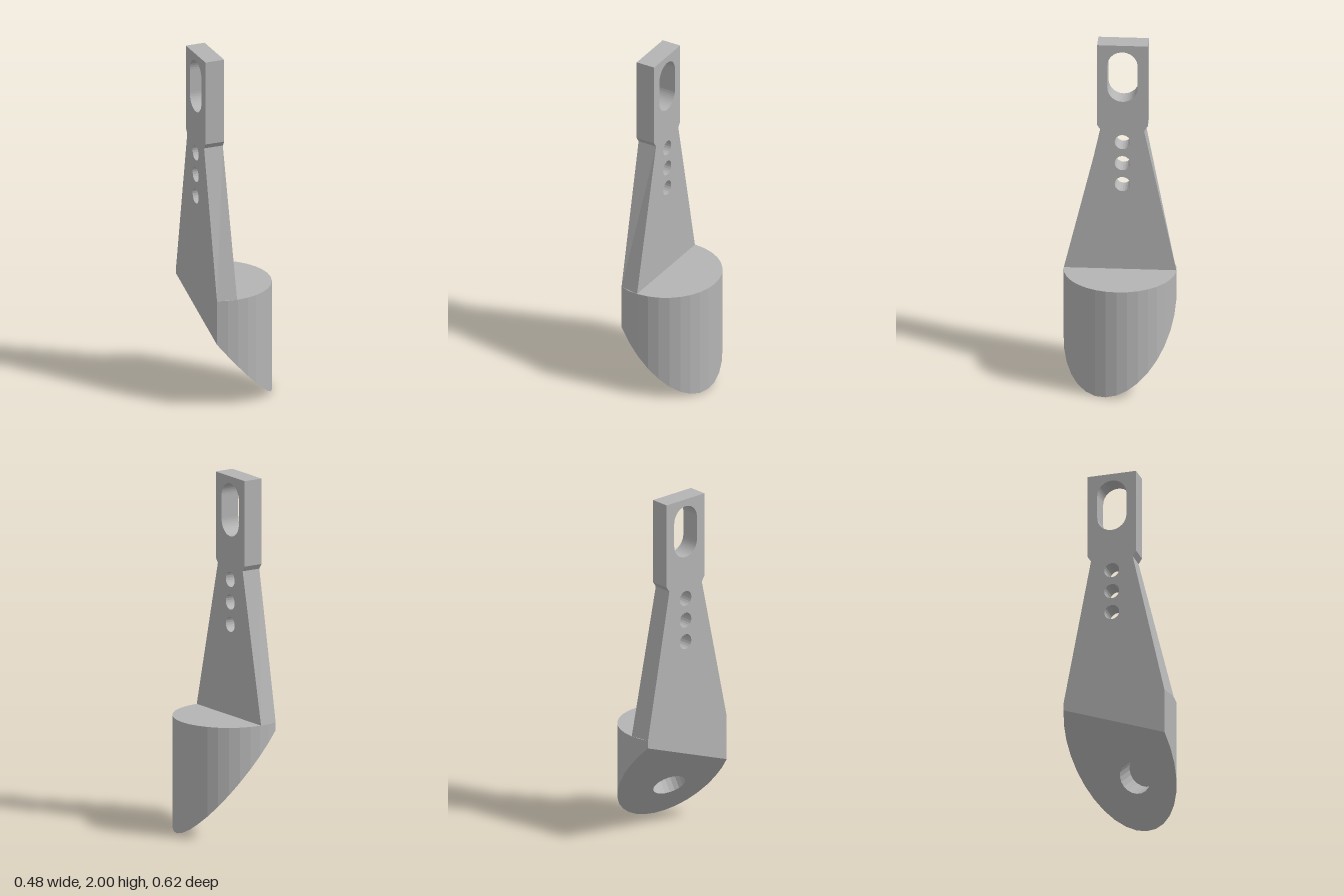
import * as THREE from 'three';

const R = 0.312;        // radius of the rounded base
const BACK = -0.112;    // flat back plane
const TOP = 0.645;      // height of the base's flat top
const LID = 0.62;       // underside of the solid top slab
const SLOPE = 1.18, DIR = 0.314;   // steepness and heading of the slanted underside
const HOLE = { u: 0.1, w: 0.056, r: 0.093, depth: 0.12 };

const slantY = (u, w) => SLOPE * (R - Math.cos(DIR) * u - Math.sin(DIR) * w);
const slantNormal = new THREE.Vector3(SLOPE * Math.cos(DIR), 1, SLOPE * Math.sin(DIR)).normalize();

// Circle segment with a flat back edge
function plan() {
  const a = Math.acos(BACK / R);
  const s = new THREE.Shape();
  s.absarc(0, 0, R, -a, a, false);
  s.closePath();
  return s;
}

function upright(shape, depth) {
  return new THREE.ExtrudeGeometry(shape, { depth, bevelEnabled: false, curveSegments: 10 }).rotateX(-Math.PI / 2);
}

// Base body: underside vertices drop onto the slanted plane, the socket runs square to it
function baseGeometry() {
  const shape = plan();
  const hole = new THREE.Path();
  hole.absellipse(HOLE.u, -HOLE.w, HOLE.r * slantNormal.y, HOLE.r, 0, Math.PI * 2, true, -DIR);
  shape.holes.push(hole);
  const g = upright(shape, 1);
  const p = g.attributes.position;
  const v = new THREE.Vector3();
  for (let i = 0; i < p.count; i++) {
    v.fromBufferAttribute(p, i);
    const upper = v.y > 0.5;
    const inHole = Math.hypot(v.x - HOLE.u, v.z - HOLE.w) < 0.11;
    v.y = upper && !inHole ? LID : slantY(v.x, v.z);
    if (upper && inHole) v.addScaledVector(slantNormal, HOLE.depth);
    p.setXYZ(i, v.x, v.y, v.z);
  }
  g.computeVertexNormals();
  return g;
}

// Tapered blade with a tab, a slot and three round holes
function bladeGeometry() {
  const c = 0.013;
  const s = new THREE.Shape([
    [-0.311, TOP], [0.311, TOP], [c + 0.12, 1.485], [c + 0.14, 1.515], [c + 0.14, 2],
    [c - 0.14, 2], [c - 0.14, 1.515], [c - 0.12, 1.485],
  ].map(([x, y]) => new THREE.Vector2(x, y)));

  const slot = new THREE.Path();
  const r = 0.084;
  slot.absarc(c, 1.96 - r, r, 0, Math.PI, false);
  slot.absarc(c, 1.66 + r, r, Math.PI, Math.PI * 2, false);
  slot.closePath();
  s.holes.push(slot);
  for (const y of [1.415, 1.287, 1.16]) {
    const h = new THREE.Path();
    h.absarc(c, y, 0.043, 0, Math.PI * 2, false);
    s.holes.push(h);
  }

  const g = new THREE.ExtrudeGeometry(s, { depth: -BACK, bevelEnabled: false, curveSegments: 10 });
  g.translate(0, 0, BACK);
  // The foot narrows toward the back to follow the round base
  const p = g.attributes.position;
  for (let i = 0; i < p.count; i++) {
    if (p.getY(i) < TOP + 0.01 && p.getZ(i) < -0.05) p.setX(i, Math.sign(p.getX(i)) * 0.291);
  }
  g.computeVertexNormals();
  return g.rotateY(Math.PI / 2);
}

export function createModel() {
  const metal = new THREE.MeshStandardMaterial({ color: 0xb4b4b4 });
  metal.name = 'light grey metal';

  const model = new THREE.Group();
  model.name = 'slotted bracket';
  const body = new THREE.Group();
  body.name = 'turnedBody';
  body.position.x = -0.07;
  body.rotation.y = -0.21;
  model.add(body);

  const add = (name, geometry) => {
    const m = new THREE.Mesh(geometry, metal);
    m.name = name;
    body.add(m);
    return m;
  };

  add('slantedBase', baseGeometry());
  add('baseTop', upright(plan(), TOP - LID)).position.y = LID;
  add('blade', bladeGeometry());

  // Closed end of the socket in the underside
  const end = add('socketEnd', new THREE.CircleGeometry(HOLE.r + 0.002, 24));
  end.quaternion.setFromUnitVectors(new THREE.Vector3(0, 0, 1), slantNormal.clone().negate());
  end.position.set(HOLE.u, slantY(HOLE.u, HOLE.w), HOLE.w).addScaledVector(slantNormal, HOLE.depth);

  return model;
}
